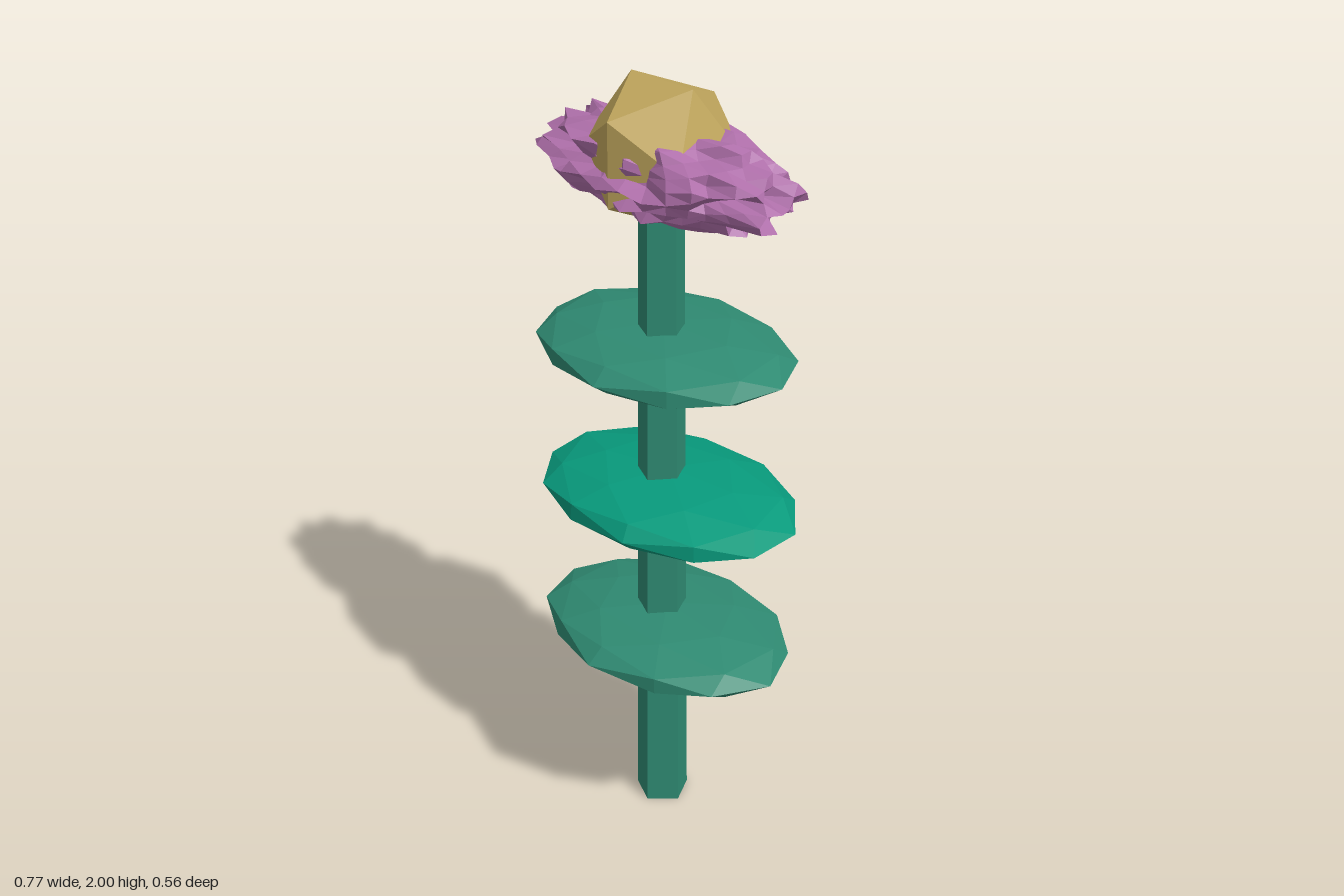
import * as THREE from 'three';
import { mergeVertices } from 'three/addons/utils/BufferGeometryUtils.js';

function makeRandom(seed) {
  let s = seed;
  return () => {
    s = (s * 16807) % 2147483647;
    return s / 2147483647;
  };
}

const material = (color) => new THREE.MeshStandardMaterial({ color, flatShading: true });

// Faceted ball with jittered corners, stretched to fill the box lo..hi
function roughBall(detail, jitter, turn, seed, lo, hi) {
  const random = makeRandom(seed);
  let geo = new THREE.IcosahedronGeometry(1, detail);
  geo.deleteAttribute('normal');
  geo.deleteAttribute('uv');
  geo = mergeVertices(geo, 1e-4);
  geo.rotateY(turn);
  const pos = geo.attributes.position;
  const v = new THREE.Vector3();
  for (let i = 0; i < pos.count; i++) {
    v.fromBufferAttribute(pos, i).multiplyScalar(1 + jitter * (random() - 0.5));
    pos.setXYZ(i, v.x, v.y, v.z);
  }
  geo.computeBoundingBox();
  const { min, max } = geo.boundingBox;
  for (let i = 0; i < pos.count; i++) {
    for (let a = 0; a < 3; a++) {
      const t = (pos.getComponent(i, a) - min.getComponent(a)) / (max.getComponent(a) - min.getComponent(a));
      pos.setComponent(i, a, lo[a] + t * (hi[a] - lo[a]));
    }
  }
  return geo;
}

function finish(geo) {
  const flat = geo.toNonIndexed();
  flat.computeVertexNormals();
  return flat;
}

export function createModel() {
  const model = new THREE.Group();
  model.name = 'flower';
  const green = material(0x2f8a72);
  const brightGreen = material(0x089a7c);

  const add = (name, geo, mat) => {
    const mesh = new THREE.Mesh(geo, mat);
    mesh.name = name;
    model.add(mesh);
    return mesh;
  };

  // Tapered five-sided stem
  const stem = add('stem', new THREE.CylinderGeometry(0.057, 0.071, 1.76, 5), green);
  stem.position.set(-0.01, 0.88, 0.009);
  stem.rotation.y = THREE.MathUtils.degToRad(12);

  // Three flattened leaf discs up the stem
  const leaves = [
    ['lowerLeaf', 0.0, [-0.37, 0.47, -0.255], [0.385, 0.61, 0.28], green],
    ['middleLeaf', 0.3, [-0.375, 0.865, -0.265], [0.375, 1.005, 0.25], brightGreen],
    ['upperLeaf', 0.15, [-0.385, 1.26, -0.28], [0.335, 1.395, 0.26], green],
  ];
  leaves.forEach(([name, turn, lo, hi, mat], i) => {
    add(name, finish(roughBall(1, 0.06, turn, 11 + i * 7, lo, hi)), mat);
  });

  // Spiky petal mass, trimmed flat above, below and at one end
  const petals = roughBall(5, 0.34, 0.1, 4242, [-0.41, 1.67, -0.18], [0.39, 1.92, 0.19]);
  const pos = petals.attributes.position;
  for (let i = 0; i < pos.count; i++) {
    pos.setX(i, Math.max(pos.getX(i), -0.385));
    pos.setY(i, THREE.MathUtils.clamp(pos.getY(i), 1.69, 1.9));
  }
  add('petals', finish(petals), material(0xb070ab));

  // Flower centre
  const centre = add('flowerCentre', new THREE.IcosahedronGeometry(0.195, 0), material(0xbfa55c));
  centre.position.set(-0.014, 1.834, 0.004);

  return model;
}
